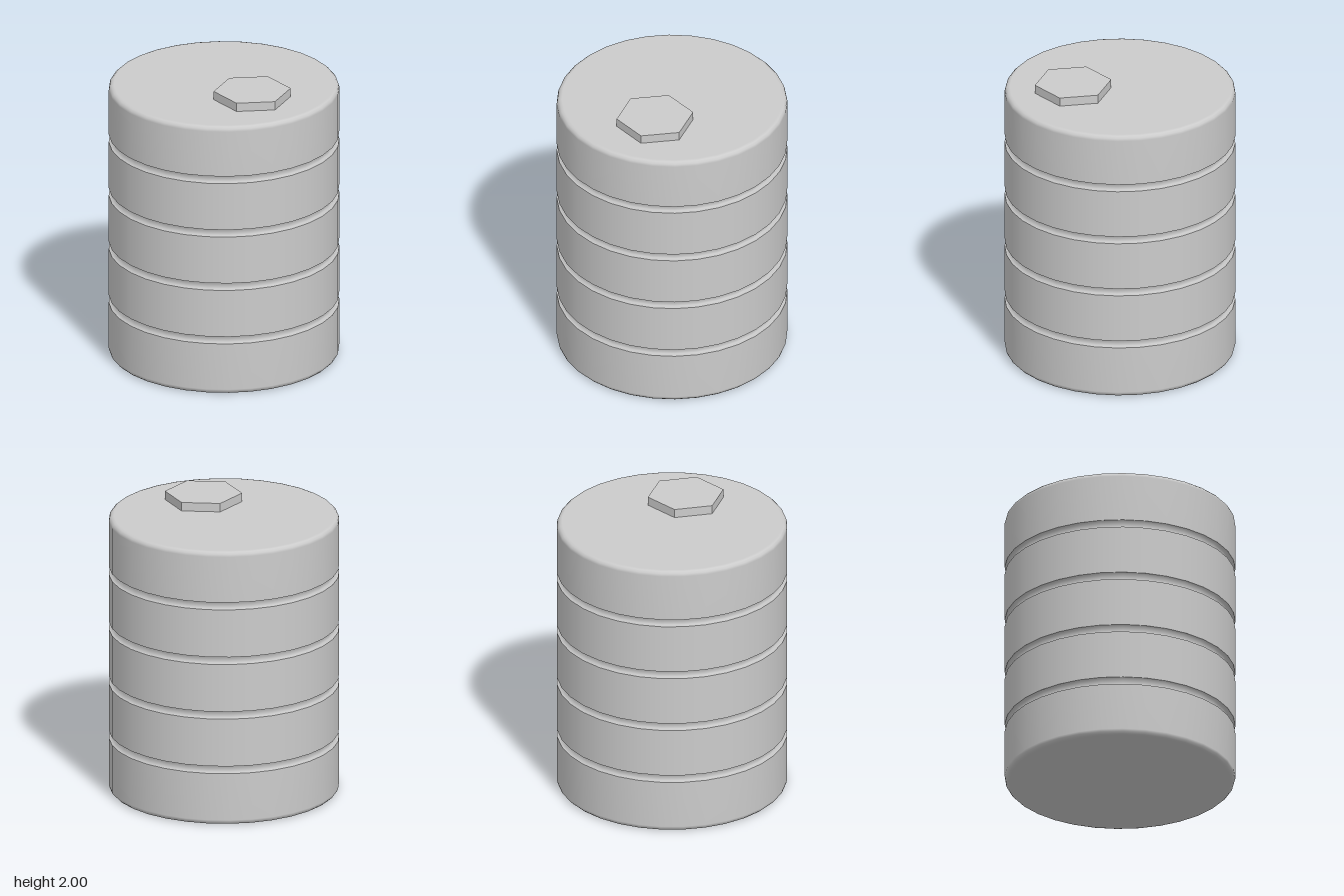
import * as THREE from 'three';

const SIDES = 32;
const R = 0.775;       // outer radius of the bands
const GROOVE_R = 0.745;
const TOP = 1.94;
const BEVEL = 0.035;

export function createModel() {
  const group = new THREE.Group();
  const smooth = new THREE.MeshStandardMaterial({ color: 0xcccccc });
  const flat = new THREE.MeshStandardMaterial({ color: 0xcccccc, flatShading: true });

  // Profiles run from bottom to top so that the faces look outwards
  const lathe = (name, pts) => {
    const geo = new THREE.LatheGeometry(pts.map(([r, y]) => new THREE.Vector2(r, y)), SIDES);
    const mesh = new THREE.Mesh(geo, smooth);
    mesh.name = name;
    group.add(mesh);
  };

  // Quarter-round between a cap and the wall
  const round = [0, 1, 2, 3].map((i) => {
    const a = (i / 3) * Math.PI / 2;
    return [R - BEVEL + BEVEL * Math.sin(a), BEVEL * (1 - Math.cos(a))];
  });

  // Grooves with a fixed spacing, and plain bands between them
  const grooves = [0, 1, 2, 3].map((i) => [0.366 + i * 0.388, 0.418 + i * 0.388]);
  grooves.forEach(([a, b], i) => {
    lathe('groove' + (i + 1), [[R, a], [GROOVE_R, a], [GROOVE_R, b], [R, b]]);
    if (i < 3) lathe('band' + (i + 1), [[R, b], [R, grooves[i + 1][0]]]);
  });

  // Rounded end sections, closed by the floor and the lid
  lathe('bottomSection', [[0, 0], ...round, [R, grooves[0][0]]]);
  lathe('topSection', [
    [R, grooves[3][1]],
    ...round.map(([r, y]) => [r, TOP - y]).reverse(),
    [0, TOP],
  ]);

  // Hexagonal plug near the front of the lid
  const plug = new THREE.Mesh(new THREE.CylinderGeometry(0.26, 0.26, 0.07, 6), flat);
  plug.name = 'hexPlug';
  plug.position.set(0, 1.965, 0.32);
  group.add(plug);

  return group;
}
